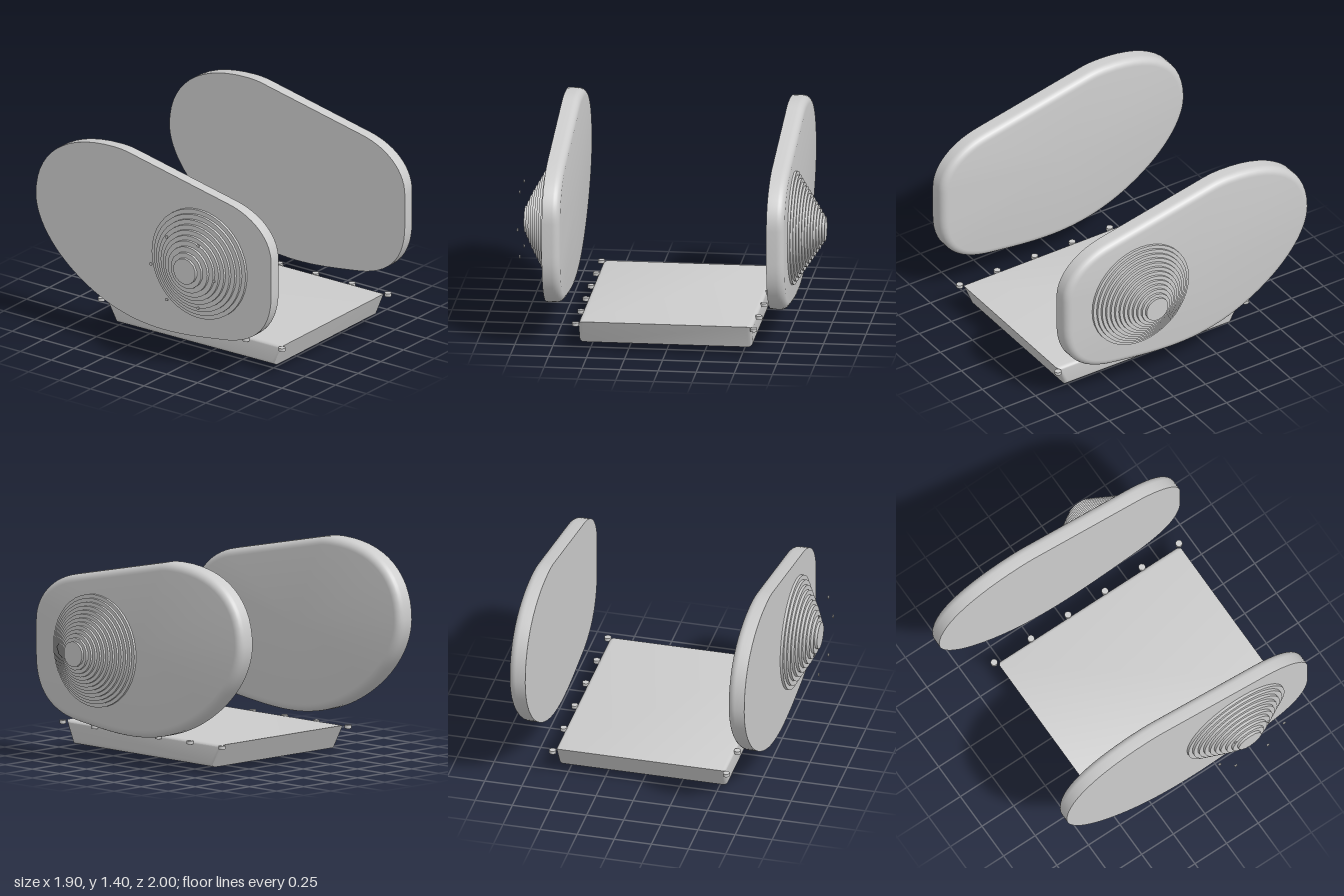
import * as THREE from 'three';
import { toCreasedNormals } from 'three/addons/utils/BufferGeometryUtils.js';

const metal = new THREE.MeshStandardMaterial({ color: 0xcccccc });
metal.name = 'light grey metal';

function add(parent, name, geometry, x = 0, y = 0, z = 0) {
  const mesh = new THREE.Mesh(geometry, metal);
  mesh.name = name;
  mesh.position.set(x, y, z);
  parent.add(mesh);
  return mesh;
}

// Outline shared by both covers, drawn clockwise
function coverOutline() {
  const s = new THREE.Shape();
  s.moveTo(-0.955, 0.92);
  s.bezierCurveTo(-0.955, 1.22, -0.72, 1.4, -0.33, 1.4);
  s.quadraticCurveTo(-0.26, 1.4, -0.2, 1.388);
  s.lineTo(0.6, 1.22);
  s.bezierCurveTo(0.8, 1.18, 0.95, 1.05, 0.95, 0.88);
  s.lineTo(0.95, 0.66);
  s.bezierCurveTo(0.95, 0.4, 0.8, 0.28, 0.55, 0.25);
  s.bezierCurveTo(0.4, 0.23, 0.25, 0.207, 0.08, 0.207);
  s.bezierCurveTo(-0.2, 0.207, -0.42, 0.29, -0.6, 0.41);
  s.bezierCurveTo(-0.82, 0.555, -0.955, 0.75, -0.955, 0.92);
  const points = s.getPoints(14);
  points.pop();
  return points;
}

// Plate with a sharp rim towards +z and a rounded rim towards -z
function coverGeometry(depth, radius) {
  const outline = coverOutline();
  const n = outline.length;
  const rings = [[0, depth]];
  for (let i = 0; i <= 6; i++) {
    const a = (i / 6) * Math.PI / 2;
    rings.push([radius * (1 - Math.cos(a)), radius * (1 - Math.sin(a))]);
  }
  const pos = [], index = [];
  for (const [inset, z] of rings) {
    outline.forEach((p, i) => {
      const t = outline[(i + 1) % n].clone().sub(outline[(i + n - 1) % n]).normalize();
      pos.push(p.x + t.y * inset, p.y - t.x * inset, z);
    });
  }
  for (let r = 0; r < rings.length - 1; r++) {
    for (let i = 0; i < n; i++) {
      const a = r * n + i, b = r * n + (i + 1) % n;
      index.push(a, b, a + n, b, b + n, a + n);
    }
  }
  // Flat caps, fanned from a centre point
  const front = pos.length / 3, back = front + 1, last = (rings.length - 1) * n;
  pos.push(0, 0.8, depth, 0, 0.8, 0);
  for (let i = 0; i < n; i++) {
    const j = (i + 1) % n;
    index.push(front, j, i, back, last + i, last + j);
  }
  const g = new THREE.BufferGeometry();
  g.setAttribute('position', new THREE.Float32BufferAttribute(pos, 3));
  g.setIndex(index);
  return toCreasedNormals(g, 0.7);
}

// Stack of shrinking discs, growing along z from z0 to z1
function steppedCone(name, radii, z0, z1) {
  const group = new THREE.Group();
  group.name = name;
  const step = (z1 - z0) / radii.length;
  radii.forEach((r, i) => {
    const g = new THREE.CylinderGeometry(r, r, Math.abs(step), r < 0.13 ? 14 : 40);
    g.rotateX(Math.PI / 2);
    add(group, 'coneStep', g, 0.375, 0.745, z0 + step * (i + 0.5));
  });
  return group;
}

export function createModel() {
  const model = new THREE.Group();
  model.name = 'coversAndPan';

  // Side covers
  const cover = coverGeometry(0.115, 0.05);
  add(model, 'frontCover', cover, 0, 0, 0.685);
  add(model, 'backCover', cover, 0, 0, -0.79);

  // Stepped cones on the outer faces
  const frontRadii = [0.38, 0.35, 0.318, 0.287, 0.256, 0.225, 0.195, 0.16, 0.125, 0.09];
  const backRadii = Array.from({ length: 13 }, (_, i) => 0.373 - i * 0.024);
  model.add(steppedCone('frontCone', frontRadii, 0.8, 0.975));
  model.add(steppedCone('backCone', backRadii, -0.79, -1));

  // Small studs in a circle before the front cone
  for (let i = 0; i < 6; i++) {
    const a = i * Math.PI / 3;
    const g = new THREE.CylinderGeometry(0.011, 0.011, 0.008, 10).rotateX(Math.PI / 2);
    add(model, 'frontStud', g, 0.375 + 0.255 * Math.cos(a), 0.745 + 0.255 * Math.sin(a), 0.996);
  }

  // Tapered pan with rounded long edges
  const r = 0.03;
  const section = new THREE.Shape([
    new THREE.Vector2(-0.464, 0.045 + r), new THREE.Vector2(0.79, 0.052 + r),
    new THREE.Vector2(0.836, 0.212 - r), new THREE.Vector2(-0.53, 0.212 - r),
  ]);
  const pan = new THREE.ExtrudeGeometry(section, {
    depth: 1.14 - 2 * r, bevelEnabled: true, bevelSize: r, bevelThickness: r, bevelSegments: 5,
  });
  pan.translate(0, 0, -0.57 + r);
  add(model, 'pan', toCreasedNormals(pan, 0.6));

  // Bolts along both long sides of the pan
  const bolt = new THREE.CylinderGeometry(0.023, 0.023, 0.022, 12);
  for (const z of [-0.585, 0.585]) {
    for (let i = 0; i < 6; i++) add(model, 'panBolt', bolt, -0.583 + i * 0.2925, 0.192, z);
  }

  // Hexagonal drain plug
  const plug = new THREE.CylinderGeometry(0.052, 0.052, 0.06, 6).rotateY(Math.PI / 6);
  add(model, 'drainPlug', toCreasedNormals(plug, 0.5), 0.15, 0.03, 0.01);

  return model;
}
